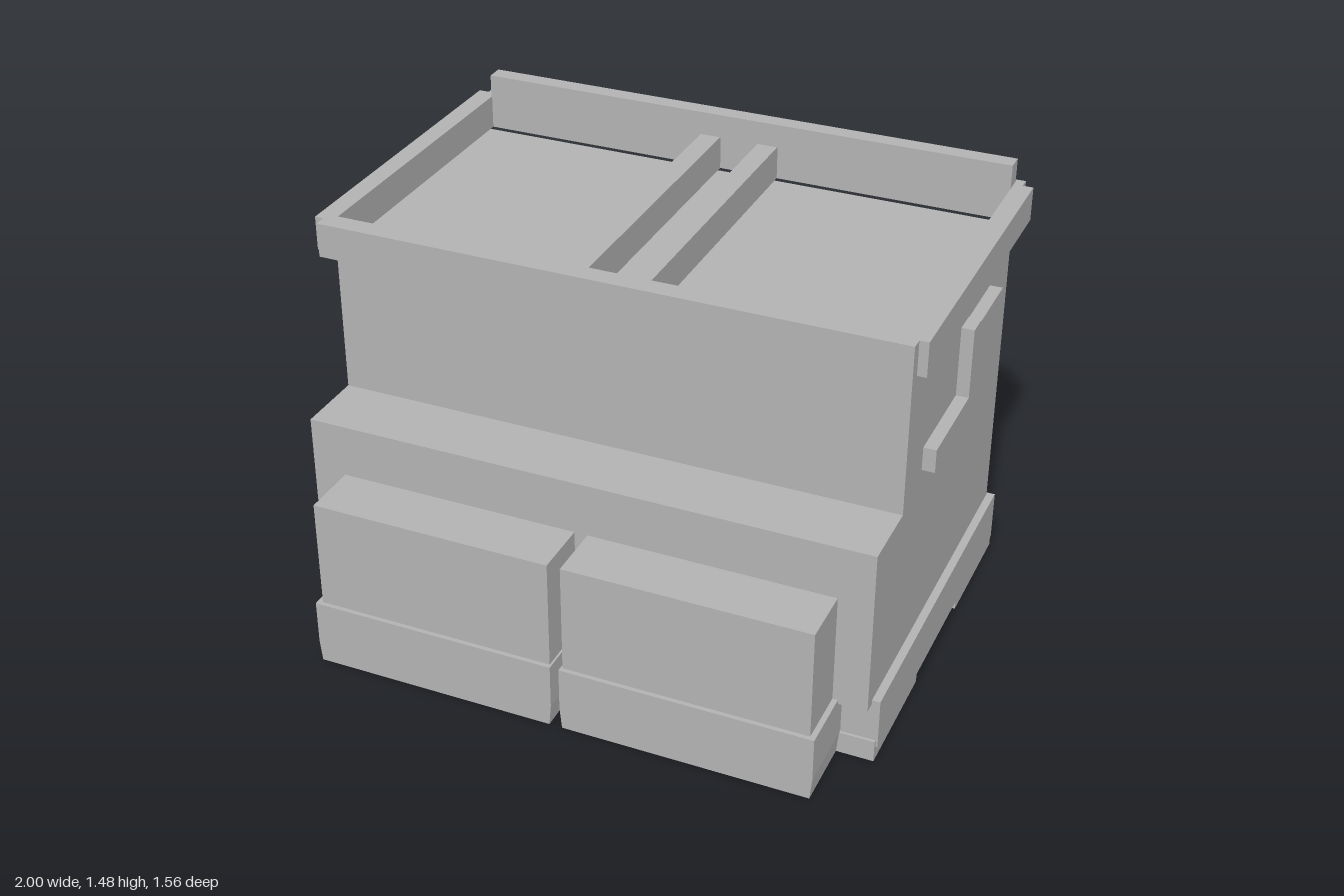
import * as THREE from 'three';

export function createModel() {
  const model = new THREE.Group();
  model.name = 'storageCabinet';
  const grey = new THREE.MeshStandardMaterial({ color: 0xb2b2b2 });
  grey.name = 'grey';

  function add(name, geometry) {
    const mesh = new THREE.Mesh(geometry, grey);
    mesh.name = name;
    model.add(mesh);
  }

  // Box from its minimum and maximum on each axis
  function box(name, x0, x1, y0, y1, z0, z1) {
    const g = new THREE.BoxGeometry(x1 - x0, y1 - y0, z1 - z0);
    g.translate((x0 + x1) / 2, (y0 + y1) / 2, (z0 + z1) / 2);
    add(name, g);
  }

  function extrude(points, depth) {
    const shape = new THREE.Shape(points.map(([u, v]) => new THREE.Vector2(u, v)));
    return new THREE.ExtrudeGeometry(shape, { depth, bevelEnabled: false });
  }

  // Side profile given as [z, y], swept from x0 to x1
  function sideProfile(name, points, x0, x1) {
    const g = extrude(points.map(([z, y]) => [-z, y]), x1 - x0);
    g.rotateY(Math.PI / 2);
    g.translate(x0, 0, 0);
    add(name, g);
  }

  // Stepped cabinet body
  sideProfile('body', [
    [0.57, 0.21], [-0.71, 0.21], [-0.71, 1.27], [0.335, 1.27], [0.335, 0.78], [0.57, 0.78],
  ], -0.95, 0.95);

  // Plinth and the foot slab with its cross channel
  box('plinth', -0.977, 0.977, 0.05, 0.225, -0.72, 0.53);
  sideProfile('footSlab', [
    [0.54, 0], [0.11, 0], [0.11, 0.045], [-0.32, 0.045], [-0.32, 0],
    [-0.74, 0], [-0.74, 0.075], [0.54, 0.075],
  ], -0.97, 0.97);

  // Open top frame floating just above the body
  const low = 1.28, high = 1.395;
  box('frameFront', -0.97, 0.97, low, high, 0.335, 0.405);
  box('frameBack', -0.965, 0.965, low, high, -0.78, -0.71);
  box('dividerRight', -0.14, -0.07, low, high, -0.71, 0.335);
  box('dividerLeft', 0.065, 0.135, low, high, -0.71, 0.335);
  box('backLip', -0.935, 0.935, high, 1.475, -0.765, -0.705);

  // Paired parts
  for (const [side, s] of [['Left', 1], ['Right', -1]]) {
    const span = (a, b) => (s > 0 ? [a, b] : [-b, -a]);
    box('frame' + side, ...span(0.935, 1.0), low, high, -0.742, 0.365);

    // Z-shaped handle
    sideProfile('handle' + side, [
      [0.165, 0.84], [-0.245, 0.84], [-0.245, 1.085], [-0.485, 1.085],
      [-0.485, 1.155], [-0.245, 1.155], [-0.245, 1.16], [-0.17, 1.16],
      [-0.17, 0.92], [0.165, 0.92],
    ], ...span(0.94, 0.992));

    // Front bin on a base that narrows slightly at the floor
    box('bin' + side, ...span(0.022, 0.837), 0.21, 0.6, 0.5, 0.765);
    const base = extrude([
      [0.022, 0], [0.848, 0], [0.855, 0.075], [0.855, 0.225], [0.015, 0.225], [0.015, 0.075],
    ].map(([x, y]) => [s * x, y]), 0.28);
    base.translate(0, 0, 0.5);
    add('binBase' + side, base);
  }
  return model;
}
